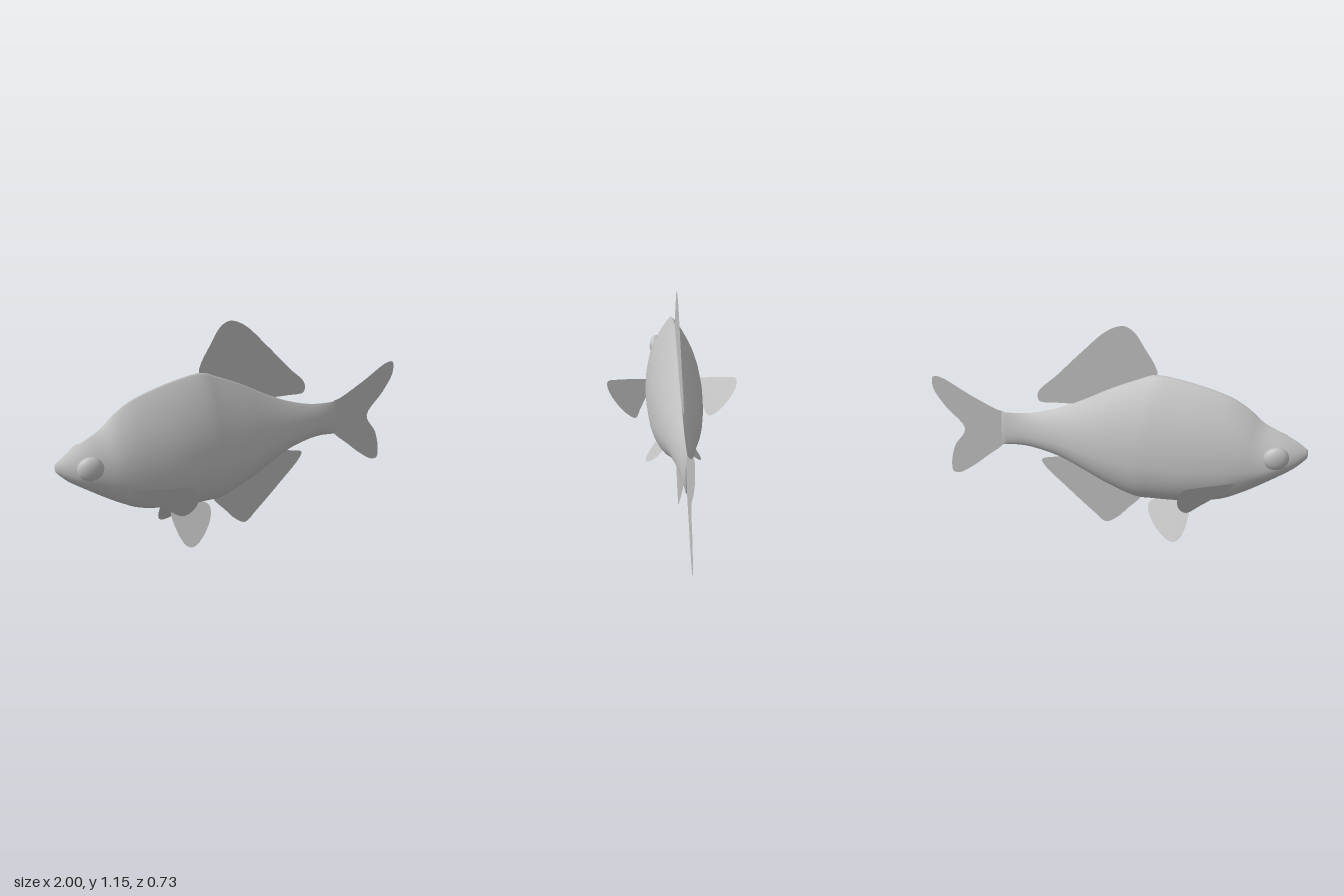
import * as THREE from 'three';

const grey = new THREE.MeshStandardMaterial({ color: 0xc0c0c0, side: THREE.DoubleSide });
grey.name = 'pale grey';

// Body stations from mouth to tail: x, top y, bottom y, half width
const STATIONS = [
  [-1, 0.63, 0.585, 0.012], [-0.95, 0.665, 0.53, 0.05], [-0.88, 0.7, 0.475, 0.085],
  [-0.78, 0.745, 0.4, 0.108], [-0.7, 0.81, 0.345, 0.125], [-0.6, 0.862, 0.29, 0.14],
  [-0.43, 0.903, 0.247, 0.154], [-0.25, 0.922, 0.225, 0.151], [-0.15, 0.885, 0.222, 0.144],
  [0, 0.81, 0.27, 0.125], [0.12, 0.74, 0.322, 0.103], [0.26, 0.667, 0.378, 0.073],
  [0.4, 0.615, 0.403, 0.045], [0.5, 0.595, 0.405, 0.029], [0.6, 0.585, 0.39, 0.014],
];

function mesh(name, geometry) {
  const m = new THREE.Mesh(geometry, grey);
  m.name = name;
  return m;
}

// Loft with a keeled back and a rounded belly
function bodyGeometry(rings = 56, sides = 32) {
  const spline = (f) => new THREE.CatmullRomCurve3(
    STATIONS.map((s) => new THREE.Vector3(...f(s))), false, 'catmullrom', 0.5);
  const heights = spline(([x, top, bottom]) => [x, top, bottom]);
  const widths = spline(([x, , , w]) => [x, w, 0]);
  const pos = [], index = [];
  for (let i = 0; i <= rings; i++) {
    const { x, y: top, z: bottom } = heights.getPoint(i / rings);
    const half = widths.getPoint(i / rings).y;
    const mid = bottom + (top - bottom) * 0.37;
    for (let j = 0; j < sides; j++) {
      const a = (j / sides) * Math.PI * 2;
      const s = Math.sin(a), c = Math.cos(a);
      const y = mid + s * (s > 0 ? top - mid : mid - bottom);
      const z = half * (s > 0 ? Math.sign(c) * Math.abs(c) ** 1.9 : c);
      pos.push(x, y, z);
    }
  }
  const at = (i, j) => i * sides + (j % sides);
  for (let i = 0; i < rings; i++) {
    for (let j = 0; j < sides; j++) {
      index.push(at(i, j), at(i + 1, j), at(i + 1, j + 1));
      index.push(at(i, j), at(i + 1, j + 1), at(i, j + 1));
    }
  }
  // End caps
  const mouth = pos.length / 3;
  pos.push(-1.002, 0.608, 0, 0.6, 0.49, 0);
  for (let j = 0; j < sides; j++) {
    index.push(mouth, at(0, j), at(0, j + 1));
    index.push(mouth + 1, at(rings, j + 1), at(rings, j));
  }
  const g = new THREE.BufferGeometry();
  g.setAttribute('position', new THREE.Float32BufferAttribute(pos, 3));
  g.setIndex(index);
  g.computeVertexNormals();
  return g;
}

// Thin fin: a smooth outline in x and y, laid on the plane z = depth(x, y)
function fin(name, outline, depth = () => 0) {
  const curve = new THREE.CatmullRomCurve3(
    outline.map(([x, y]) => new THREE.Vector3(x, y, 0)), true, 'centripetal');
  const points = curve.getPoints(outline.length * 5).slice(0, -1);
  const g = new THREE.ShapeGeometry(new THREE.Shape(points.map((p) => new THREE.Vector2(p.x, p.y))));
  const p = g.attributes.position;
  for (let i = 0; i < p.count; i++) p.setZ(i, depth(p.getX(i), p.getY(i)));
  g.computeVertexNormals();
  return mesh(name, g);
}

const DORSAL = [
  [-0.245, 0.915], [-0.175, 1.06], [-0.12, 1.135], [-0.07, 1.155], [0.01, 1.122], [0.145, 0.99],
  [0.28, 0.845], [0.385, 0.735], [0.38, 0.687], [0.28, 0.69], [0.17, 0.702], [0.08, 0.72], [-0.1, 0.82],
];
const ANAL = [
  [-0.18, 0.225], [-0.1, 0.11], [-0.045, 0.045], [0.02, 0.004], [0.09, 0.055], [0.225, 0.17],
  [0.37, 0.305], [0.378, 0.335], [0.305, 0.362], [0.225, 0.38], [0.1, 0.36], [-0.08, 0.28],
];
const TAIL = [
  [0.58, 0.585], [0.63, 0.598], [0.785, 0.665], [0.945, 0.742], [0.988, 0.738], [0.993, 0.67],
  [0.93, 0.57], [0.825, 0.45], [0.895, 0.33], [0.925, 0.215], [0.92, 0.16], [0.88, 0.16],
  [0.785, 0.225], [0.695, 0.305], [0.6, 0.39], [0.57, 0.45], [0.565, 0.54],
];
const PECTORAL = [
  [-0.69, 0.442], [-0.62, 0.477], [-0.525, 0.514], [-0.48, 0.523], [-0.447, 0.465],
  [-0.446, 0.34], [-0.47, 0.298], [-0.525, 0.33], [-0.62, 0.39],
];
const PELVIC = [
  [-0.44, 0.25], [-0.445, 0.145], [-0.417, 0.078], [-0.38, 0.066], [-0.31, 0.1],
  [-0.243, 0.17], [-0.235, 0.215], [-0.3, 0.25],
];

export function createModel() {
  const fish = new THREE.Group();
  fish.name = 'fish';
  fish.add(mesh('body', bodyGeometry()));

  // Fins on the centre line
  fish.add(fin('dorsalFin', DORSAL), fin('analFin', ANAL), fin('tailFin', TAIL));

  // Paired fins and eyes
  for (const side of [1, -1]) {
    const label = side > 0 ? 'Near' : 'Far';
    fish.add(fin('pectoralFin' + label, PECTORAL,
      (x, y) => side * (0.12 + 0.957 * (x + 0.68) + 0.715 * (y - 0.45))));
    fish.add(fin('pelvicFin' + label, PELVIC, (x, y) => side * (0.045 + 0.68 * (0.235 - y))));

    const eye = mesh('eye' + label, new THREE.SphereGeometry(1, 24, 16));
    eye.scale.set(0.062, 0.06, 0.033);
    eye.position.set(-0.86, 0.6, side * 0.077);
    eye.rotation.y = -side * 0.25;
    fish.add(eye);
  }
  return fish;
}
